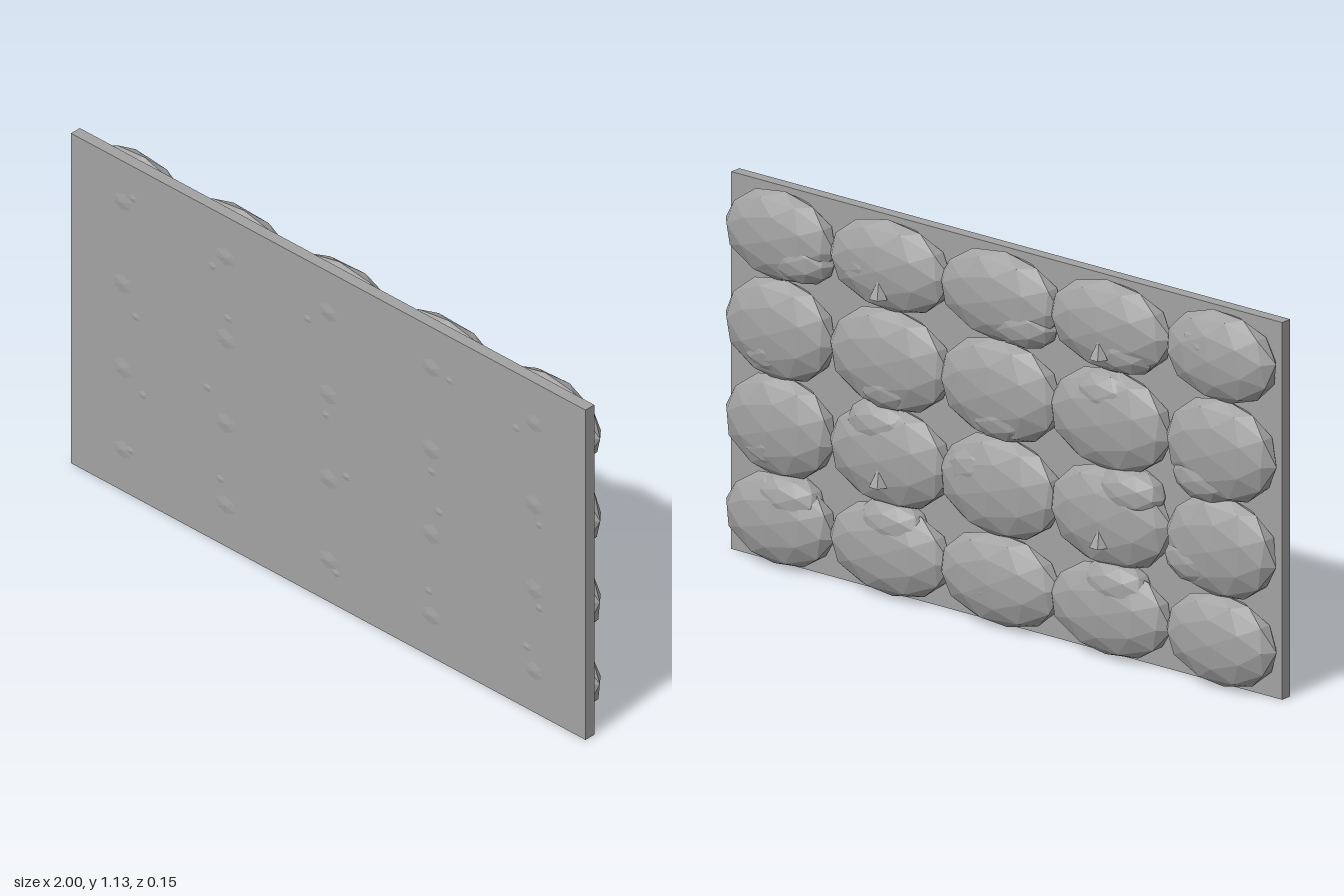
import * as THREE from 'three';

// Stone wall panel: a thin slab with rows of faceted boulders and four small pegs.
export function createModel() {
  const group = new THREE.Group();
  group.name = 'stoneWallPanel';
  const stone = new THREE.MeshStandardMaterial({ color: 0xa2a2a2, flatShading: true });
  stone.name = 'stoneGrey';

  let seed = 7;
  const rand = () => {
    seed = (seed * 16807) % 2147483647;
    return seed / 2147483647 - 0.5;
  };
  const add = (name, geometry, x, y, z) => {
    const mesh = new THREE.Mesh(geometry, stone);
    mesh.name = name;
    mesh.position.set(x, y, z);
    group.add(mesh);
    return mesh;
  };
  // Faceted ellipsoid, slightly turned in the plane of the wall before stretching
  const boulder = (name, x, y, z, rx, ry, rz) => {
    const geometry = new THREE.IcosahedronGeometry(1, 1);
    geometry.rotateZ(rand() * 0.3);
    geometry.scale(rx, ry, rz);
    add(name, geometry, x, y, z);
  };

  // Backing slab
  add('slab', new THREE.BoxGeometry(2, 1.133, 0.036), 0, 0.5665, 0.051);

  // Boulder rows from the top down, each with the offset of its smaller companion stone
  const columns = [-0.8, -0.4, 0, 0.4, 0.8];
  const rows = [
    { y: 0.993, ry: 0.137, small: [[0.04, 0.03], [-0.05, -0.055], [-0.08, -0.06], [0.07, -0.01], [-0.07, -0.05]] },
    { y: 0.712, ry: 0.155, small: [[0.05, -0.09], [0.01, 0.075], [-0.01, -0.075], [0, -0.075], [0.02, -0.06]] },
    { y: 0.422, ry: 0.155, small: [[0.08, -0.055], [-0.07, 0.09], [0.07, 0.04], [0.03, 0.09], [0.02, -0.055]] },
    { y: 0.142, ry: 0.139, small: [[0.03, 0.01], [-0.02, 0.08], [0.03, -0.03], [-0.01, 0.08], [-0.03, 0.07]] },
  ];
  for (const { y, ry, small } of rows) {
    columns.forEach((x, i) => {
      const rx = Math.abs(x) > 0.5 ? 0.2 : 0.222;
      boulder('boulder', x, y, 0.008, rx, ry, 0.065);
      boulder('smallBoulder', x + small[i][0], y + small[i][1], 0.01, 0.12, 0.078, 0.062);
    });
  }

  // Small pointed pegs on the boulder side
  for (const x of [-0.4, 0.4]) {
    for (const y of [0.347, 0.912]) {
      const peg = new THREE.ConeGeometry(0.03, 0.06, 6);
      peg.rotateY(Math.PI / 6);
      add('peg', peg, x, y + 0.03, -0.047);
    }
  }
  return group;
}
